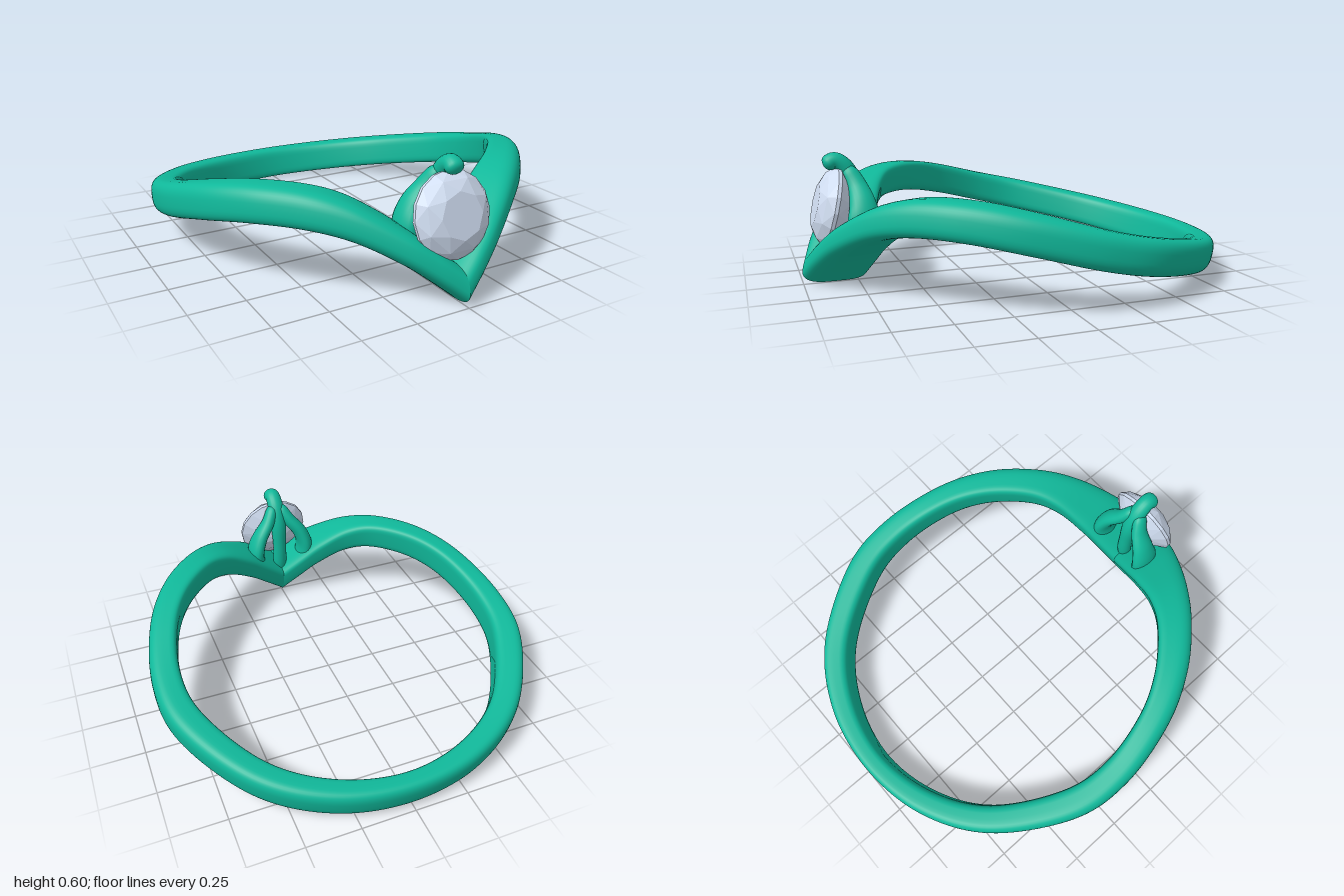
import * as THREE from 'three';
import { ConvexGeometry } from 'three/addons/geometries/ConvexGeometry.js';

const V = (x, y, z) => new THREE.Vector3(x, y, z);
const metal = new THREE.MeshStandardMaterial({ color: 0x10b89a });
const gem = new THREE.MeshStandardMaterial({ color: 0xcfdcf0 });

// Smooth skin over a row of closed cross-sections
function skin(rings) {
  const n = rings[0].length, index = [];
  for (let i = 0; i < rings.length - 1; i++) {
    for (let j = 0; j < n; j++) {
      const k = (j + 1) % n, a = i * n + j, b = i * n + k;
      index.push(a, a + n, b, b, a + n, b + n);
    }
  }
  const g = new THREE.BufferGeometry().setFromPoints(rings.flat());
  g.setIndex(index);
  g.computeVertexNormals();
  return g;
}

function add(group, name, geometry, material) {
  const mesh = new THREE.Mesh(geometry, material);
  mesh.name = name;
  group.add(mesh);
  return mesh;
}

// Band stations from the front tip round to the back:
// inner x, inner z, outer x, outer z, centre height
const stations = [
  [0, 0.695, 0, 1.0, 0.082],
  [0.1, 0.66, 0.11, 0.955, 0.17],
  [0.2, 0.625, 0.23, 0.89, 0.255],
  [0.34, 0.57, 0.4, 0.77, 0.345],
  [0.47, 0.485, 0.56, 0.63, 0.383],
  [0.62, 0.32, 0.72, 0.44, 0.378],
  [0.72, 0.13, 0.84, 0.2, 0.335],
  [0.77, -0.12, 0.905, -0.12, 0.26],
  [0.73, -0.355, 0.86, -0.41, 0.2],
  [0.55, -0.65, 0.64, -0.745, 0.13],
  [0.3, -0.82, 0.345, -0.932, 0.092],
  [0, -0.885, 0, -0.992, 0.08],
];

function bandGeometry() {
  const mirrored = stations.slice(0, -1).reverse().map(([a, b, c, d, e]) => [-a, b, -c, d, e]);
  const all = [...stations, ...mirrored];
  const inner = new THREE.CatmullRomCurve3(all.map(s => V(s[0], s[4], s[1])), false, 'catmullrom', 0.5);
  const outer = new THREE.CatmullRomCurve3(all.map(s => V(s[2], s[4], s[3])), false, 'catmullrom', 0.5);
  const half = 0.08, lean = 0.22, steps = 240, sides = 40, rings = [];
  for (let i = 0; i <= steps; i++) {
    const p = inner.getPoint(i / steps), q = outer.getPoint(i / steps), ring = [];
    for (let j = 0; j < sides; j++) {
      // Rounded outside, flatter inside
      const a = (j / sides) * Math.PI * 2, c = Math.cos(a), s = Math.sin(a);
      const e = 2 / (c > 0 ? 2.8 : 4.5);
      const u = Math.sign(c) * Math.abs(c) ** e, v = Math.sign(s) * Math.abs(s) ** e * half;
      const r = p.clone().lerp(q, (u + 1) / 2);
      ring.push(r.add(V(0, v, -v * lean)));
    }
    rings.push(ring);
  }
  return skin(rings);
}

// Tapered rod with rounded ends; each node is x, y, z, half width, half depth
function rod(nodes) {
  const path = new THREE.CatmullRomCurve3(nodes.map(n => V(n[0], n[1], n[2])));
  const size = new THREE.CatmullRomCurve3(nodes.map(n => V(n[3], n[4], 0)));
  const steps = 48, sides = 20, rings = [], cap = 0.12;
  for (let i = 0; i <= steps; i++) {
    const t = (1 - Math.cos((i / steps) * Math.PI)) / 2;
    const end = Math.min(1, Math.min(t, 1 - t) / cap);
    const round = Math.sqrt(Math.max(0, 1 - (1 - end) ** 2));
    const p = path.getPoint(t), T = path.getTangent(t), r = size.getPoint(t);
    const N = V(1, 0, 0).addScaledVector(T, -T.x).normalize();
    const B = N.clone().cross(T);
    const ring = [];
    for (let j = 0; j < sides; j++) {
      const a = (j / sides) * Math.PI * 2;
      ring.push(p.clone()
        .addScaledVector(N, Math.cos(a) * r.x * round)
        .addScaledVector(B, Math.sin(a) * r.y * round));
    }
    rings.push(ring);
  }
  return skin(rings);
}

// Brilliant cut with its table facing +z: tiers of sides, radius, height, turn
function stoneGeometry() {
  const tiers = [
    [8, 0.1, 0.072, 0],
    [8, 0.155, 0.046, 0.5],
    [16, 0.185, 0.008, 0],
    [16, 0.185, -0.008, 0],
    [8, 0.1, -0.073, 0.5],
    [1, 0, -0.11, 0],
  ];
  const points = [];
  for (const [n, r, h, turn] of tiers) {
    for (let i = 0; i < n; i++) {
      const a = ((i + turn) / n) * Math.PI * 2;
      points.push(V(Math.cos(a) * r, Math.sin(a) * r, h));
    }
  }
  return new ConvexGeometry(points);
}

export function createModel() {
  const model = new THREE.Group();
  model.name = 'ring';
  add(model, 'band', bandGeometry(), metal);

  const stone = add(model, 'stone', stoneGeometry(), gem);
  stone.position.set(0, 0.355, 0.862);
  stone.rotation.x = -0.24;

  // Setting: a hooked centre prong with a leg on each side
  const setting = new THREE.Group();
  setting.name = 'setting';
  model.add(setting);
  add(setting, 'centreProng', rod([
    [0, 0.1, 0.76, 0.04, 0.04],
    [0, 0.3, 0.745, 0.036, 0.036],
    [0, 0.44, 0.755, 0.042, 0.042],
    [0, 0.53, 0.79, 0.042, 0.04],
    [0, 0.566, 0.84, 0.04, 0.038],
    [0, 0.54, 0.885, 0.046, 0.038],
  ]), metal);
  for (const side of [1, -1]) {
    add(setting, side > 0 ? 'leftLeg' : 'rightLeg', rod([
      [side * 0.13, 0.17, 0.745, 0.045, 0.07],
      [side * 0.142, 0.3, 0.735, 0.042, 0.074],
      [side * 0.115, 0.38, 0.735, 0.038, 0.06],
      [side * 0.06, 0.455, 0.75, 0.034, 0.045],
      [side * 0.012, 0.54, 0.79, 0.03, 0.035],
    ]), metal);
  }
  return model;
}
